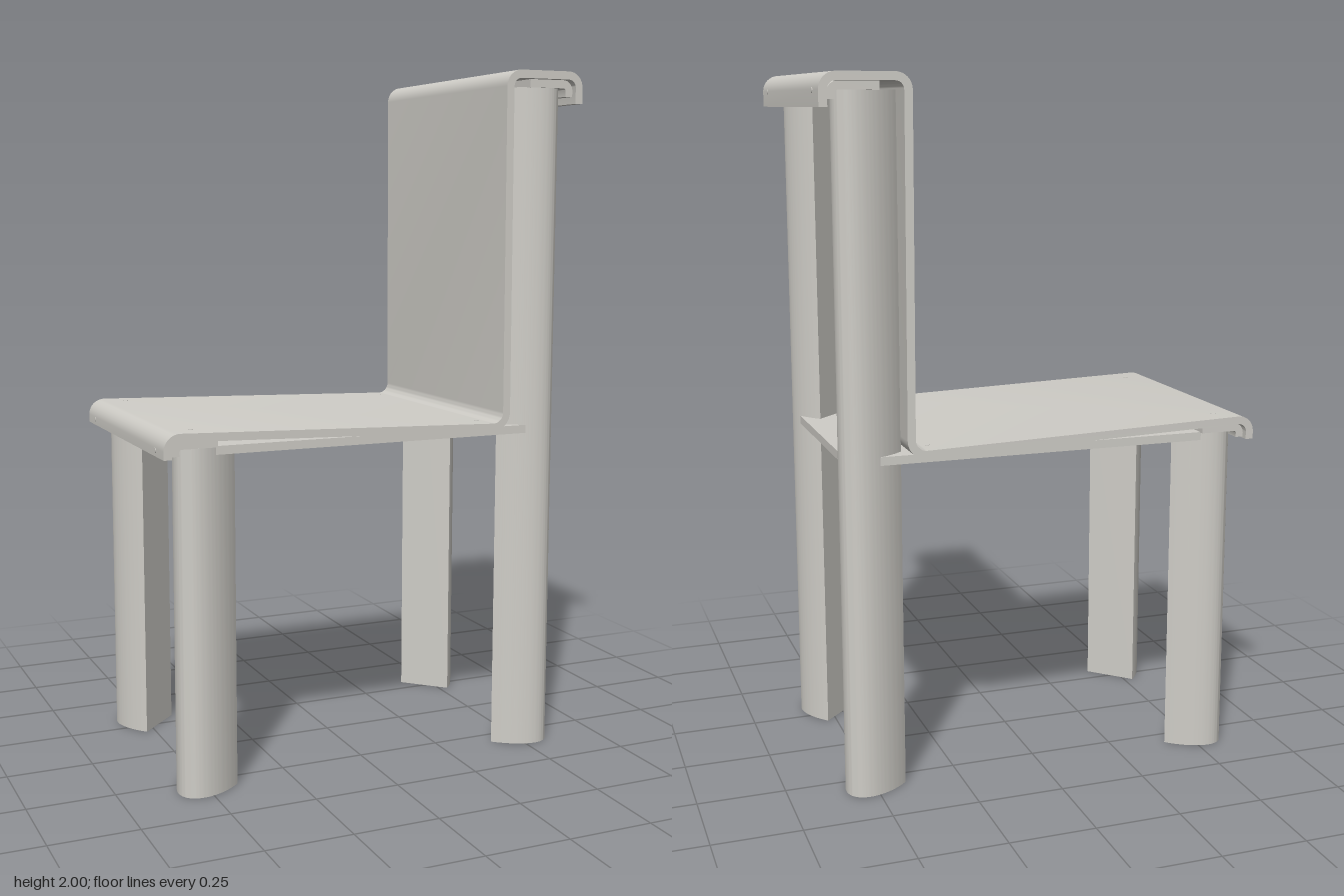
import * as THREE from 'three';
import { toCreasedNormals } from 'three/addons/utils/BufferGeometryUtils.js';

const V = (x, y) => new THREE.Vector2(x, y);

// Replaces each inner corner of a polyline [x, y, radius] with an arc
function roundedPath(points) {
  const out = [V(points[0][0], points[0][1])];
  for (let i = 1; i < points.length - 1; i++) {
    const [a, p, b] = [points[i - 1], points[i], points[i + 1]].map(q => V(q[0], q[1]));
    const u = a.sub(p).normalize(), w = b.sub(p).normalize();
    const half = Math.acos(u.dot(w)) / 2, r = points[i][2];
    const centre = p.clone().addScaledVector(u.clone().add(w).normalize(), r / Math.sin(half));
    const start = p.clone().addScaledVector(u, r / Math.tan(half)).sub(centre);
    const turn = (Math.PI - 2 * half) * Math.sign(w.cross(u));
    for (let k = 0; k <= 8; k++) {
      out.push(start.clone().rotateAround(V(0, 0), turn * k / 8).add(centre));
    }
  }
  const end = points[points.length - 1];
  out.push(V(end[0], end[1]));
  return out;
}

// Bent sheet of even thickness, extruded across the chair's width
function bentSheet(points, thickness, width) {
  const path = roundedPath(points), left = [], right = [];
  path.forEach((p, i) => {
    const d = path[Math.min(i + 1, path.length - 1)].clone().sub(path[Math.max(i - 1, 0)]).normalize();
    // Keep the long straight runs parallel: use the arc's tangent at its ends
    const prev = i > 0 ? p.clone().sub(path[i - 1]) : null;
    const next = i < path.length - 1 ? path[i + 1].clone().sub(p) : null;
    if (prev && next) d.copy(prev.normalize().add(next.normalize()).normalize());
    const n = V(-d.y, d.x).multiplyScalar(thickness / 2);
    left.push(p.clone().add(n));
    right.unshift(p.clone().sub(n));
  });
  const geo = new THREE.ExtrudeGeometry(new THREE.Shape([...left, ...right]), { depth: width, bevelEnabled: false });
  geo.translate(0, 0, -width / 2);
  return toCreasedNormals(geo, 0.6);
}

// Half-elliptical column: rounded outside, flat inside
function columnGeometry(height) {
  const s = new THREE.Shape();
  s.moveTo(0, -0.082);
  s.absellipse(0, 0, 0.145, 0.082, -Math.PI / 2, Math.PI / 2, false, 0);
  s.closePath();
  const geo = new THREE.ExtrudeGeometry(s, { depth: height, bevelEnabled: false, curveSegments: 32 });
  geo.rotateX(-Math.PI / 2);
  return toCreasedNormals(geo, 0.6);
}

// Rectangle with cut corners, laid flat
function plateGeometry(x, z, cut, thickness) {
  const s = new THREE.Shape([
    V(x - cut, -z), V(x, cut - z), V(x, z - cut), V(x - cut, z),
    V(cut - x, z), V(-x, z - cut), V(-x, cut - z), V(cut - x, -z),
  ]);
  const geo = new THREE.ExtrudeGeometry(s, { depth: thickness, bevelEnabled: false });
  return geo.rotateX(-Math.PI / 2);
}

export function createModel() {
  const model = new THREE.Group();
  model.name = 'chair';
  const metal = new THREE.MeshStandardMaterial({ color: 0xcfcdc7 });
  metal.name = 'warm grey';

  const add = (name, geo) => {
    const mesh = new THREE.Mesh(geo, metal);
    mesh.name = name;
    model.add(mesh);
    return mesh;
  };

  // Four legs, the rear pair running up behind the backrest
  for (const sx of [-1, 1]) for (const sz of [-1, 1]) {
    const leg = add(sx < 0 ? 'frontLeg' : 'rearLeg', columnGeometry(sx < 0 ? 0.978 : 1.955));
    leg.position.set(sx * 0.469, 0, sz * 0.25);
    leg.rotation.y = Math.atan2(-sz, sx);
  }

  // Flat plate joining the legs under the seat
  add('lowerPlate', plateGeometry(0.575, 0.357, 0.03, 0.024)).position.y = 0.956;

  // One continuous sheet: front lip, seat, backrest, top and rear lip
  add('seatAndBack', bentSheet([
    [-0.626, 0.955], [-0.626, 1.014, 0.035], [0.401, 0.982, 0.042],
    [0.397, 1.989, 0.035], [0.623, 1.989, 0.035], [0.623, 1.91],
  ], 0.023, 0.77));

  // Inner bent strips between the sheet and the leg tops
  add('frontSpacer', bentSheet([[-0.601, 0.96], [-0.601, 0.99, 0.018], [-0.48, 0.99]], 0.023, 0.74));
  add('topSpacer', bentSheet([[0.47, 1.965], [0.598, 1.965, 0.018], [0.598, 1.93]], 0.023, 0.74));

  // Small screw heads
  const screw = new THREE.CylinderGeometry(0.007, 0.007, 0.004, 16);
  const seatY = x => 1.0255 - (x + 0.626) * 0.0312;
  for (const z of [-0.318, 0.318]) {
    add('seatScrew', screw).position.set(-0.54, seatY(-0.54) - 0.001, z);
    add('seatScrew', screw).position.set(0.338, seatY(0.338) - 0.001, z);
    add('topScrew', screw).position.set(0.535, 1.999, z);
    for (const [x, y] of [[-0.637, 0.972], [0.634, 1.953]]) {
      const s = add('lipScrew', screw);
      s.position.set(x, y, z * 0.975);
      s.rotation.z = Math.PI / 2;
    }
  }
  return model;
}
